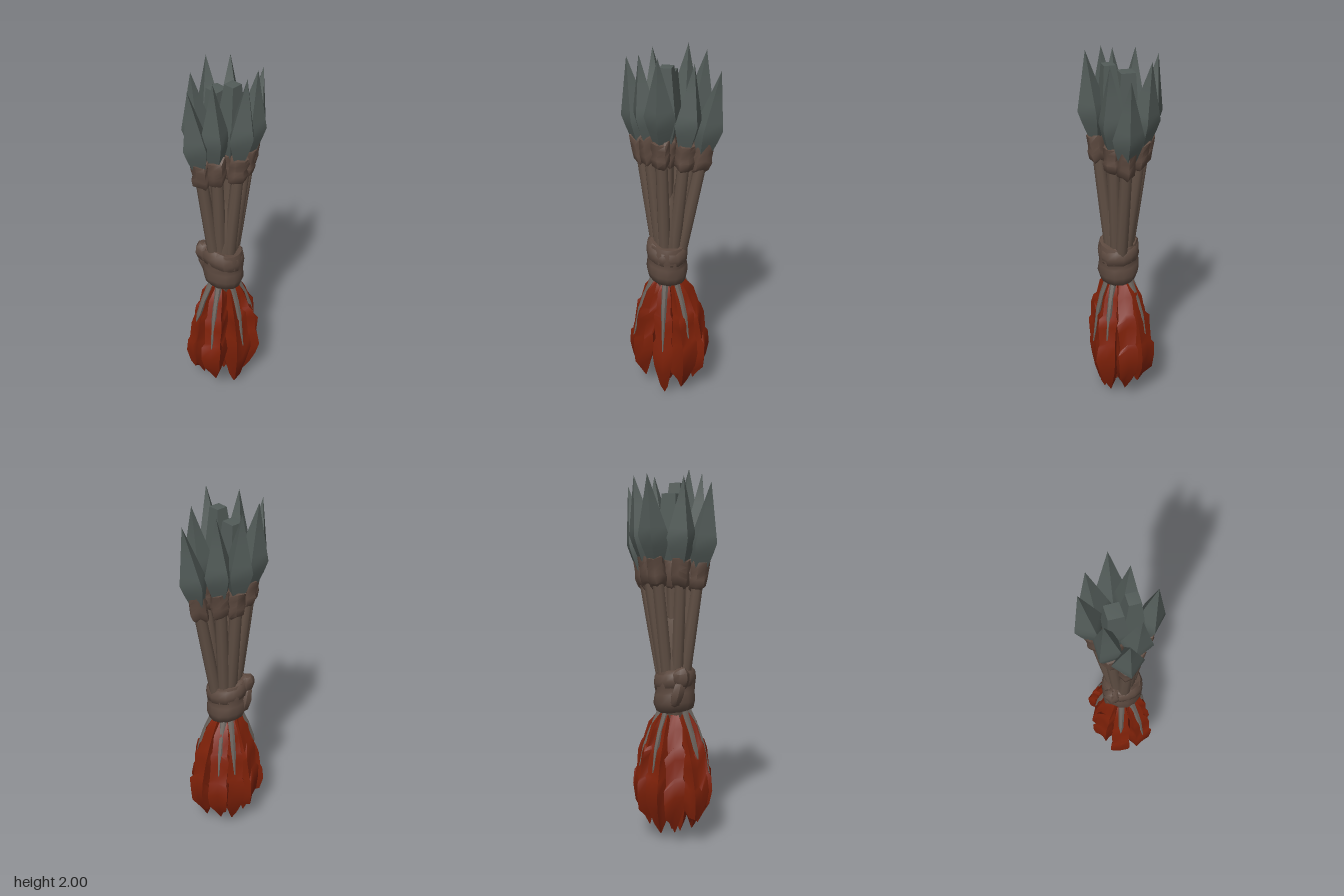
import * as THREE from 'three';
import { toCreasedNormals } from 'three/addons/utils/BufferGeometryUtils.js';

const material = (name, color) => {
  const m = new THREE.MeshStandardMaterial({ color });
  m.name = name;
  return m;
};

// Small repeatable noise in -1..1
const noise = (a, b = 0) => {
  const s = Math.sin(a * 12.9898 + b * 78.233) * 43758.5453;
  return (s - Math.floor(s)) * 2 - 1;
};

// Skin over horizontal rings listed bottom to top: { x, y, z, r }.
// shape(i, j) scales the radius of corner j in ring i; lift(i, j) shifts its height.
function loft(rings, sides, { rot = 0, shape = () => 1, lift = () => 0, crease = 0.6 } = {}) {
  const pos = [], index = [];
  rings.forEach((c, i) => {
    for (let j = 0; j < sides; j++) {
      const a = rot + (j / sides) * Math.PI * 2, r = c.r * shape(i, j);
      pos.push(c.x + Math.cos(a) * r, c.y + lift(i, j), c.z + Math.sin(a) * r);
    }
  });
  for (let i = 0; i < rings.length - 1; i++) {
    for (let j = 0; j < sides; j++) {
      const a = i * sides + j, b = i * sides + (j + 1) % sides;
      index.push(a, a + sides, b, b, a + sides, b + sides);
    }
  }
  const g = new THREE.BufferGeometry();
  g.setAttribute('position', new THREE.Float32BufferAttribute(pos, 3));
  g.setIndex(index);
  return toCreasedNormals(g, crease);
}

// Head centre x, z at its widest, tip height, tip radius, turn,
// then feather centre x, z, lowest point, and lower end of the bare quill (0 for none)
const Q = Math.PI / 4;
const ARROWS = [
  [-0.197, -0.010, 1.94, 0, 0.08, -0.165, -0.035, 0.08, 0.48],
  [-0.105, -0.082, 1.97, 0, Q, -0.075, -0.100, 0.06, 0],
  [0.030, -0.135, 1.98, 0, -0.30, 0.025, -0.095, 0.04, 0.40],
  [0.115, -0.085, 1.97, 0, 0.10, 0.110, -0.082, 0.08, 0.42],
  [0.203, 0.020, 1.91, 0, 0.15, 0.150, 0.015, 0.07, 0],
  [0.100, 0.078, 1.96, 0, Q, 0.090, 0.095, 0.04, 0.40],
  [-0.025, -0.025, 1.88, 0.055, Q, -0.010, 0.000, 0.04, 0],
  [-0.015, 0.055, 1.93, 0.042, Q, 0.000, 0.030, 0.05, 0],
  [-0.125, 0.055, 1.98, 0, 0.40, -0.160, 0.072, 0.08, 0.36],
  [-0.030, 0.140, 2.00, 0, 0.00, -0.020, 0.110, 0.00, 0.32],
];
const CX = -0.025, CZ = 0.012;

export function createModel() {
  const stone = material('grey stone', 0x525b58);
  const wood = material('brown wood', 0x615045);
  const leather = material('brown leather', 0x5c493f);
  const feather = material('red feather', 0x7c2008);
  const quill = material('grey quill', 0x69625c);

  const model = new THREE.Group();
  model.name = 'arrowBundle';
  const add = (parent, name, geometry, mat) => {
    const mesh = new THREE.Mesh(geometry, mat);
    mesh.name = name;
    parent.add(mesh);
  };

  ARROWS.forEach(([hx, hz, tip, blunt, turn, fx, fz, low, quillEnd], k) => {
    const arrow = new THREE.Group();
    arrow.name = 'arrow' + (k + 1);
    model.add(arrow);

    // Upper half runs straight from the tie to the head
    const tx = CX + (hx - CX) * 0.3, tz = CZ + (hz - CZ) * 0.3;
    const up = (y, r) => {
      const t = (y - 0.85) / 0.81;
      return { x: tx + (hx - tx) * t, y, z: tz + (hz - tz) * t, r };
    };
    add(arrow, 'shaft', loft([up(0.72, 0.033), up(1.15, 0.033), up(1.5, 0.031)], 8, { crease: 1 }), wood);

    // Lumpy lashing below the head
    const d = blunt ? 0 : tip - 1.97;
    add(arrow, 'headLashing', loft(
      [[1.40, 0.03], [1.415, 0.046], [1.455, 0.051], [1.48, 0.046], [1.515, 0.05], [1.545, 0.047], [1.55, 0.02]]
        .map(([y, r]) => up(y + d * 0.4, r)), 7,
      { shape: (i, j) => 1 + 0.1 * noise(i + k * 7, j), lift: (i, j) => 0.018 * noise(j, k), crease: 1 }), leather);

    // Four-sided stone head, straight-tapered to a point or to a chipped, blunt top
    const wide = 1.66 + d, taper = (t) => up(wide + (tip - wide) * t, 0.081 + (blunt - 0.081) * t);
    add(arrow, 'arrowhead', loft([
      up(1.50 + d, 0.03), up(1.54 + d, 0.047), up(1.60 + d, 0.066), up(wide, 0.081),
      taper(0.15), taper(0.5), taper(0.99), up(tip, 0.001),
    ], 4, { rot: turn, shape: (i, j) => 1 + 0.05 * noise(j + 3, k), crease: 0.6 }), stone);

    // Lower half splays out, then curls in slightly at the feather tips
    const down = (y, r, f, out = 0) => {
      const dx = fx - CX, dz = fz - CZ, len = Math.hypot(dx, dz);
      return {
        x: CX + dx * (0.3 + 0.7 * f) + dx / len * out, y,
        z: CZ + dz * (0.3 + 0.7 * f) + dz / len * out, r,
      };
    };
    const outward = Math.atan2(fz - CZ, fx - CX);

    // Four-vaned fletching with stepped, ragged edges
    add(arrow, 'fletching', loft([
      down(low, 0.002, 0.78), down(low + 0.06, 0.028, 0.88), down(0.18, 0.06, 0.97),
      down(0.26, 0.071, 1), down(0.34, 0.071, 0.95), down(0.36, 0.06, 0.92),
      down(0.46, 0.066, 0.76), down(0.51, 0.068, 0.64), down(0.53, 0.053, 0.6),
      down(0.62, 0.052, 0.36), down(0.71, 0.028, 0.12), down(0.72, 0.002, 0.1),
    ], 8, {
      rot: outward,
      shape: (i, j) => (j % 2 ? 1.08 : 0.66) + 0.1 * noise(i + k, j + 2),
      lift: (i, j) => (i > 1 && i < 10 ? 0.038 * noise(j + k * 3, 5) : 0),
      crease: 0.8,
    }), feather);

    // Bare quill tapering down between the outer vanes
    if (quillEnd) {
      add(arrow, 'quill', loft([
        down(quillEnd, 0.003, 0.93 - (quillEnd - 0.36) * 1.7, 0.05), down(0.53, 0.014, 0.61, 0.044),
        down(0.62, 0.016, 0.36, 0.039), down(0.76, 0.02, 0, 0.012),
      ], 6, { crease: 1 }), quill);
    }
  });

  // Core of packed shafts inside the tie
  const mid = (y, r) => ({ x: CX, y, z: CZ, r });
  add(model, 'shaftCore', loft([mid(0.66, 0.05), mid(0.72, 0.075), mid(0.98, 0.072), mid(1.2, 0.065), mid(1.35, 0.01)], 12,
    { crease: 1 }), wood);

  // Wrapped leather tie with uneven folds
  const tie = new THREE.Group();
  tie.name = 'tie';
  model.add(tie);
  add(tie, 'wrap', loft([
    mid(0.71, 0.07), mid(0.725, 0.098), mid(0.77, 0.113), mid(0.82, 0.109),
    mid(0.835, 0.106), mid(0.86, 0.11), mid(0.91, 0.107), mid(0.94, 0.1), mid(0.945, 0.05),
  ], 14, {
    shape: (i, j) => 1 + 0.03 * noise(i, j),
    lift: (i, j) => 0.015 * Math.cos((j / 14) * Math.PI * 2 + 2.6),
    crease: 1,
  }), leather);

  // Broad strap slanting up towards the knot
  add(tie, 'strap', loft([
    mid(0.84, 0.09), mid(0.855, 0.11), mid(0.89, 0.114), mid(0.925, 0.109), mid(0.945, 0.09), mid(0.94, 0.06),
  ], 16, {
    shape: (i, j) => 1 + 0.03 * noise(j, 4),
    lift: (i, j) => 0.022 * Math.cos((j / 16) * Math.PI * 2 + 2.6) + 0.006 * noise(j, 8),
    crease: 1,
  }), leather);

  // Knot at the rear corner, with a folded strap end hanging from it
  add(tie, 'knot', loft([
    [0.86, 0.015], [0.875, 0.035], [0.91, 0.044], [0.945, 0.043], [0.97, 0.03], [0.975, 0.002],
  ].map(([y, r]) => ({ x: -0.095, y, z: -0.062, r })), 7,
  { shape: (i, j) => 1 + 0.14 * noise(i, j + 6), lift: (i, j) => 0.008 * noise(j, 2), crease: 0.9 }), leather);
  add(tie, 'strapEnd', loft([
    [0.76, 0.01], [0.775, 0.03], [0.83, 0.036], [0.89, 0.03], [0.92, 0.002],
  ].map(([y, r]) => ({ x: -0.06 - (y - 0.76) * 0.25, y, z: -0.072, r })), 6,
  { shape: (i, j) => 1 + 0.12 * noise(i, j + 9), crease: 0.9 }), leather);

  return model;
}
